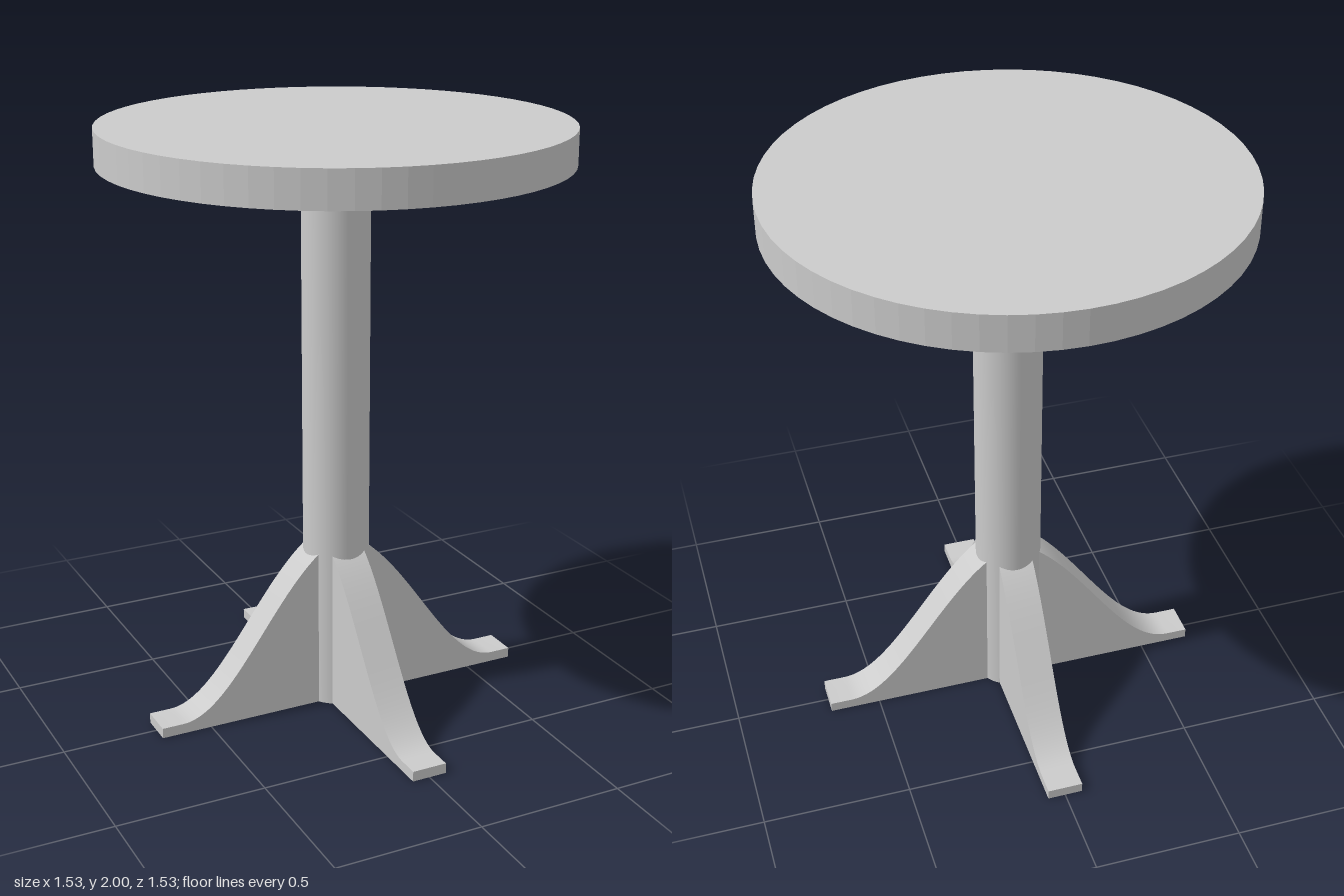
import * as THREE from 'three';
import { toCreasedNormals } from 'three/addons/utils/BufferGeometryUtils.js';

const SEAT_RADIUS = 0.765, SEAT_THICKNESS = 0.12;
const COLUMN_RADIUS = 0.113, LEG_WIDTH = 0.12;

export function createModel() {
  const group = new THREE.Group();
  const grey = new THREE.MeshStandardMaterial({ color: 0xcccccc });
  const facetedGrey = new THREE.MeshStandardMaterial({ color: 0xcccccc, flatShading: true });

  const add = (name, geometry, material = grey) => {
    const mesh = new THREE.Mesh(geometry, material);
    mesh.name = name;
    group.add(mesh);
    return mesh;
  };

  // Round seat with a faceted rim
  add('seat', new THREE.CylinderGeometry(SEAT_RADIUS, SEAT_RADIUS, SEAT_THICKNESS, 64), facetedGrey)
    .position.y = 2 - SEAT_THICKNESS / 2;

  // Column from the ground to the underside of the seat
  const columnHeight = 2 - SEAT_THICKNESS;
  add('column', new THREE.CylinderGeometry(COLUMN_RADIUS, COLUMN_RADIUS, columnHeight, 64))
    .position.y = columnHeight / 2;

  // Leg profile: S-curve sweeping down to a flat toe
  const profile = new THREE.Shape();
  profile.moveTo(0, 0);
  profile.lineTo(0.675, 0);
  profile.lineTo(0.675, 0.035);
  profile.lineTo(0.6, 0.035);
  profile.bezierCurveTo(0.43, 0.035, 0.28, 0.405, 0.096, 0.555);
  profile.lineTo(0.06, 0.582);
  profile.lineTo(0, 0.582);
  profile.closePath();

  const legGeometry = toCreasedNormals(
    new THREE.ExtrudeGeometry(profile, { depth: LEG_WIDTH, bevelEnabled: false, curveSegments: 28 })
      .translate(0, 0, -LEG_WIDTH / 2),
    0.5
  );

  // Four legs in a cross
  ['leftLeg', 'backLeg', 'rightLeg', 'frontLeg'].forEach((name, i) => {
    add(name, legGeometry).rotation.y = i * Math.PI / 2;
  });

  return group;
}
